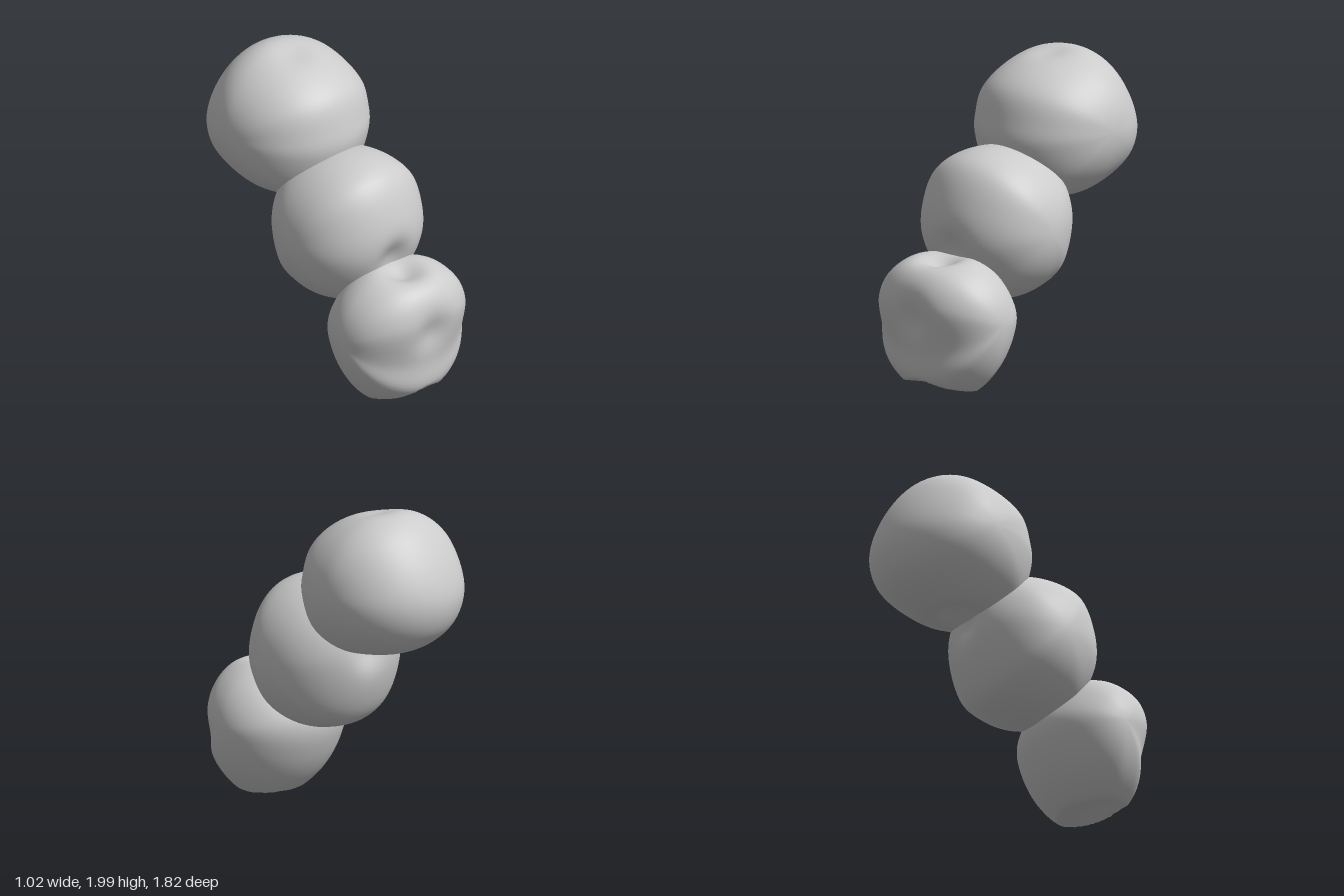
import * as THREE from 'three';
import { mergeVertices } from 'three/addons/utils/BufferGeometryUtils.js';

const material = new THREE.MeshStandardMaterial({ color: 0xcccccc });

// One swollen lobe: a side outline of [z, y] points (back, top, front, bottom)
// shrinks elliptically towards poles at +-halfWidth.
// Each dent [z, y, size, depth] pushes the skin towards the lobe's centre.
function makeLobe(name, [cz, cy], halfWidth, outline, dents, shapeFoot) {
  const curve = new THREE.CatmullRomCurve3(
    outline.map(([z, y]) => new THREE.Vector3(0, y, z)), true, 'centripetal');
  const centre = new THREE.Vector3(0, cy, cz);
  const hollows = dents.map(([z, y, size, depth]) => {
    const at = new THREE.Vector3(0, y, z);
    return { at, size, push: centre.clone().sub(at).setLength(depth) };
  });

  const geometry = new THREE.SphereGeometry(1, 96, 64);
  const { position, uv } = geometry.attributes;
  for (let i = 0; i < position.count; i++) {
    const angle = (uv.getY(i) - 0.5) * Math.PI;
    const p = curve.getPointAt(((uv.getX(i) % 1) + 1) % 1);
    p.sub(centre).multiplyScalar(Math.cos(angle)).add(centre);
    p.x = halfWidth * Math.sin(angle);
    const q = p.clone();
    for (const { at, size, push } of hollows) {
      q.addScaledVector(push, Math.exp(-p.distanceToSquared(at) / size ** 2));
    }
    if (shapeFoot) shapeFoot(q);
    position.setXYZ(i, q.x, q.y, q.z);
  }

  // Weld the seam so the whole skin shades smoothly
  geometry.deleteAttribute('uv');
  geometry.deleteAttribute('normal');
  const smooth = mergeVertices(geometry, 1e-5);
  smooth.computeVertexNormals();
  const mesh = new THREE.Mesh(smooth, material);
  mesh.name = name;
  return mesh;
}

// Flat foot, tilted up at the front and hollowed in the middle
function flattenFoot(p) {
  const hollow = 0.05 * Math.exp(-((p.x / 0.14) ** 2) - ((p.z - 0.85) / 0.16) ** 2);
  p.y = Math.max(p.y, Math.max(0, p.z - 0.5) * 0.15 + hollow);
}

export function createModel() {
  const model = new THREE.Group();
  model.name = 'stackedLobes';

  model.add(makeLobe('lowerLobe', [0.57, 0.46], 0.475,
    [[0.19, 0.5], [0.37, 0.79], [0.57, 0.87], [0.82, 0.79], [0.92, 0.6],
      [0.865, 0.28], [0.84, 0.08], [0.6, -0.07], [0.4, 0.03], [0.24, 0.26]],
    [[0.91, 0.5, 0.13, 0.05], [0.62, 0.87, 0.13, 0.1]], flattenFoot));

  model.add(makeLobe('middleLobe', [0.12, 0.97], 0.49,
    [[-0.33, 1.05], [-0.2, 1.35], [0.1, 1.455], [0.4, 1.395], [0.535, 1.15],
      [0.555, 0.88], [0.38, 0.58], [0.19, 0.5], [0, 0.51], [-0.2, 0.61]],
    [[0.56, 0.86, 0.12, 0.06], [-0.33, 1.08, 0.12, 0.06]]));

  model.add(makeLobe('upperLobe', [-0.42, 1.53], 0.508,
    [[-0.92, 1.47], [-0.85, 1.71], [-0.68, 1.93], [-0.5, 2], [-0.2, 1.93], [0, 1.79],
      [0.07, 1.6], [0.085, 1.45], [-0.05, 1.15], [-0.33, 1.055], [-0.7, 1.15], [-0.86, 1.28]],
    [[-0.38, 1.97, 0.12, 0.03], [-0.37, 1.05, 0.13, 0.1]]));

  return model;
}
